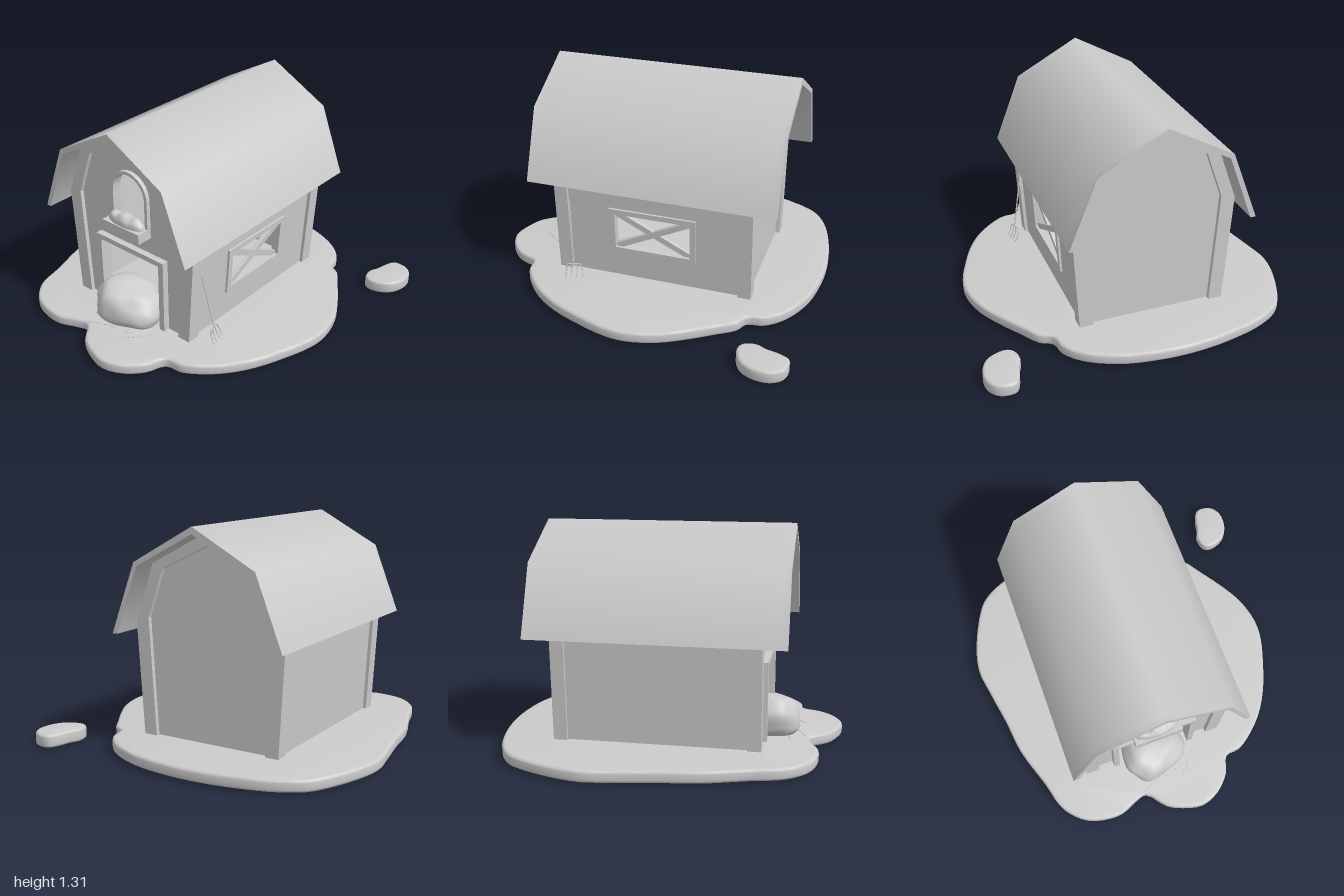
import * as THREE from 'three';
import { mergeVertices, toCreasedNormals } from 'three/addons/utils/BufferGeometryUtils.js';

const CX = -0.08; // barn centre line
const BASE = 0.05; // walls reach just below the ground surface
const material = new THREE.MeshStandardMaterial({ color: 0xcccccc });
const shellMaterial = new THREE.MeshStandardMaterial({ color: 0xcccccc, side: THREE.DoubleSide });

function add(parent, name, geometry, mat = material) {
  const mesh = new THREE.Mesh(geometry, mat);
  mesh.name = name;
  parent.add(mesh);
  return mesh;
}

const points = (list) => list.map(([x, y]) => new THREE.Vector2(x, y));
const polygon = (list) => new THREE.Shape(points(list));
const rect = (x0, y0, x1, y1) => [[x0, y0], [x1, y0], [x1, y1], [x0, y1]];
const hole = (shape, list) => { shape.holes.push(new THREE.Path(points(list))); return shape; };

// Half profile from base to ridge, mirrored to the other side
const mirrored = (half) => [...half, ...half.slice(0, -1).reverse().map(([x, y]) => [-x, y])];

// Extrude a front-facing shape between two z values
function slab(shape, z0, z1, steps = 1) {
  return new THREE.ExtrudeGeometry(shape, { depth: z1 - z0, steps, bevelEnabled: false }).translate(0, 0, z0);
}

// Upright panel facing +x that leans outwards with height (shape u = -z, v = y)
function sidePanel(shape, x0, x1) {
  const g = slab(shape, x0, x1).rotateY(Math.PI / 2);
  const lean = new THREE.Matrix4().set(1, 0.06, 0, -0.0048, 0, 1, 0, 0, 0, 0, 1, 0, 0, 0, 0, 1);
  g.applyMatrix4(lean);
  g.computeVertexNormals();
  return g;
}

// Hollow shell of land: top and rounded rim, open below; the outline (x, z) is smoothed
function land(outline, y0, y1, bevel, steps) {
  const curve = new THREE.CatmullRomCurve3(outline.map(([x, z]) => new THREE.Vector3(x, -z, 0)), true);
  const shape = polygon(curve.getPoints(steps).slice(0, -1).map((p) => [p.x, p.y]));
  const solid = new THREE.ExtrudeGeometry(shape, {
    depth: y1 - y0 - 2 * bevel, bevelThickness: bevel, bevelSize: bevel, bevelOffset: -bevel, bevelSegments: 3,
  });
  // The lids come first, the lower one leading: leave that one out
  const lowerLid = solid.groups[0].count / 2;
  const g = new THREE.BufferGeometry();
  g.setAttribute('position', new THREE.BufferAttribute(solid.attributes.position.array.slice(lowerLid * 3), 3));
  return toCreasedNormals(g.translate(0, 0, y0 + bevel).rotateX(-Math.PI / 2), 0.75);
}

// Thin round rod between two points
function rod(a, b, r) {
  return new THREE.TubeGeometry(new THREE.LineCurve3(new THREE.Vector3(...a), new THREE.Vector3(...b)), 1, r, 6, false);
}

// Smooth lump: a sphere reshaped by a rule
function lump(detail, rule) {
  let g = new THREE.IcosahedronGeometry(1, detail);
  g.deleteAttribute('normal');
  g.deleteAttribute('uv');
  g = mergeVertices(g);
  const p = g.attributes.position, v = new THREE.Vector3();
  for (let i = 0; i < p.count; i++) {
    rule(v.fromBufferAttribute(p, i));
    p.setXYZ(i, v.x, v.y, v.z);
  }
  g.computeVertexNormals();
  return g;
}

// Arch outline: straight jambs and a round head
function arch(w, y0, top) {
  const list = [[-w, y0], [w, y0]];
  for (let i = 0; i <= 16; i++) {
    const a = (i / 16) * Math.PI;
    list.push([w * Math.cos(a), top - w + w * Math.sin(a)]);
  }
  return list;
}

export function createModel() {
  const model = new THREE.Group();
  model.name = 'barnScene';

  // Ground and the small separate islet
  add(model, 'ground', land([
    [-0.13, -1], [0.03, -0.99], [0.2, -0.96], [0.35, -0.9], [0.45, -0.83], [0.51, -0.75], [0.53, -0.66],
    [0.6, -0.62], [0.67, -0.52], [0.77, -0.37], [0.85, -0.22], [0.89, -0.05], [0.88, 0.08], [0.83, 0.24],
    [0.75, 0.43], [0.65, 0.58], [0.53, 0.69], [0.45, 0.735], [0.36, 0.75], [0.31, 0.86], [0.22, 0.95],
    [0.1, 0.995], [-0.02, 0.97], [-0.12, 0.92], [-0.22, 0.81], [-0.3, 0.83], [-0.4, 0.87], [-0.5, 0.87],
    [-0.62, 0.835], [-0.71, 0.76], [-0.76, 0.68], [-0.8, 0.53], [-0.885, 0.27], [-0.915, 0.05], [-0.96, -0.2],
    [-0.98, -0.35], [-0.94, -0.54], [-0.83, -0.78], [-0.76, -0.85], [-0.62, -0.92], [-0.45, -0.965], [-0.3, -0.99],
  ], 0.012, 0.08, 0.016, 126), shellMaterial);
  add(model, 'islet', land([
    [0.87, -0.97], [0.93, -0.95], [0.97, -0.89], [0.97, -0.8], [0.93, -0.72], [0.86, -0.68], [0.8, -0.675],
    [0.765, -0.7], [0.75, -0.77], [0.775, -0.83], [0.79, -0.9], [0.82, -0.96],
  ], 0, 0.078, 0.015, 36), shellMaterial);

  const barn = new THREE.Group();
  barn.name = 'barn';
  barn.position.x = CX;
  model.add(barn);

  // Gambrel roof shell, softly shaded across its folds
  const roof = polygon([
    ...mirrored([[0.547, 0.688], [0.387, 1.1], [0, 1.31]]),
    ...mirrored([[0.515, 0.688], [0.365, 1.08], [0, 1.27]]).reverse(),
  ]);
  add(barn, 'roof', toCreasedNormals(slab(roof, -0.782, 0.7, 40), 1.1));

  // Gable walls, front one pierced by doorway and loft window
  const gable = mirrored([[0.422, BASE], [0.465, 0.75], [0.355, 1.07], [0, 1.255]]);
  const front = polygon([
    ...gable, [-0.23, BASE], [-0.23, 0.515], [0.23, 0.515], [0.23, BASE],
  ]);
  hole(front, arch(0.122, 0.69, 1.01));
  add(barn, 'frontWall', slab(front, 0.51, 0.535));
  add(barn, 'backWall', slab(polygon(gable), -0.615, -0.59));

  // Corner and gable trim, front and back
  const trim = polygon([
    ...mirrored([[0.443, BASE], [0.487, 0.75], [0.365, 1.08], [0, 1.27]]),
    ...mirrored([[0.36, BASE], [0.402, 0.77], [0.3, 1.053], [0, 1.195]]).reverse(),
  ]);
  add(barn, 'frontTrim', slab(trim, 0.48, 0.56));
  add(barn, 'backTrim', slab(trim, -0.64, -0.56));

  // Side walls; the left one has the window opening
  const win = rect(-0.19, 0.285, 0.27, 0.515);
  add(barn, 'leftWall', sidePanel(hole(polygon(rect(-0.52, BASE, 0.6, 0.8)), win), 0.4, 0.425));
  const rightWall = add(barn, 'rightWall', sidePanel(polygon(rect(-0.6, BASE, 0.52, 0.8)), 0.4, 0.425));
  rightWall.rotation.y = Math.PI;

  // Side window frame and crossed bars
  const sideWindow = new THREE.Group();
  sideWindow.name = 'sideWindow';
  barn.add(sideWindow);
  add(sideWindow, 'windowFrame', sidePanel(hole(polygon(rect(-0.225, 0.25, 0.305, 0.547)), win), 0.39, 0.439));
  for (const s of [1, -1]) {
    const a = s * Math.atan2(0.23, 0.46), c = Math.cos(a), n = Math.sin(a);
    const bar = rect(-0.25, -0.018, 0.25, 0.018).map(([u, v]) => [0.04 + u * c - v * n, 0.4 + u * n + v * c]);
    add(sideWindow, 'crossBar', sidePanel(polygon(bar), 0.395, s > 0 ? 0.424 : 0.42));
  }

  // Door surround
  add(barn, 'doorFrame', slab(polygon([
    [0.23, BASE], [0.23, 0.515], [-0.23, 0.515], [-0.23, BASE],
    [-0.267, BASE], [-0.267, 0.547], [0.267, 0.547], [0.267, BASE],
  ]), 0.5, 0.575));

  // Arched loft window with a planter full of hay
  add(barn, 'loftFrame', slab(hole(polygon(arch(0.142, 0.67, 1.03)), arch(0.122, 0.69, 1.01)), 0.5, 0.56));
  add(barn, 'planter', new THREE.BoxGeometry(0.285, 0.062, 0.1).translate(0, 0.682, 0.585));
  add(barn, 'planterHay', lump(9, (v) => {
    const height = 0.062 + 0.008 * Math.cos(9 * v.x + 0.6) + 0.004 * Math.sin(5 * v.z + 4 * v.x);
    v.set(0.132 * v.x, 0.71 + (v.y > 0 ? height * v.y ** 0.6 : 0.02 * v.y), 0.583 + 0.045 * v.z);
  }));

  // Hay heap in the doorway: bulging forward on its right, sloping down to its left
  add(model, 'hayHeap', lump(9, (v) => {
    const { x, y, z } = v;
    const bump = 1 + 0.05 * Math.sin(6 * x + 2 * z) * Math.cos(4 * y - 3 * z);
    const reach = z > 0 ? 1 - 0.3 * THREE.MathUtils.smoothstep(x, -0.35, 0.5) : 1;
    v.x = CX + 0.005 + 0.2 * Math.sign(x) * Math.abs(x) ** 0.85 * bump - (y > 0 ? 0.05 * y : 0);
    v.y = 0.14 + (y > 0 ? 0.168 * y ** 0.8 * (1 - 0.25 * Math.max(x, 0)) * bump : -0.105 * Math.abs(y) ** 0.9);
    v.z = 0.57 + 0.192 * Math.sign(z) * Math.abs(z) ** 0.9 * bump * reach;
  }));

  // Loose straw on the ground
  const straws = [
    [-0.2, 0.785, 0.3], [-0.16, 0.77, 0.25], [-0.11, 0.745, 0.6], [-0.08, 0.74, 0.1], [0.05, 0.77, 0.9],
    [0.08, 0.74, 0.85], [0.1, 0.71, 0.9], [0.03, 0.72, 0.4], [-0.25, 0.7, 0.5], [0.14, 0.66, 1.1],
  ];
  for (const [x, z, a] of straws) {
    const dx = 0.022 * Math.cos(a), dz = -0.022 * Math.sin(a);
    add(model, 'straw', rod([x - dx, 0.081, z - dz], [x + dx, 0.082, z + dz], 0.002));
  }

  // Pitchfork leaning on the left wall, its head turned towards the front
  const fork = new THREE.Group();
  fork.name = 'pitchfork';
  model.add(fork);
  add(fork, 'handle', rod([0.378, 0.555, 0.475], [0.447, 0.165, 0.437], 0.004));
  add(fork, 'crossPiece', rod([0.458, 0.163, 0.472], [0.435, 0.163, 0.402], 0.004));
  for (let i = 0; i < 4; i++) {
    const t = i / 3, x = 0.458 - 0.023 * t, z = 0.472 - 0.07 * t, spread = 0.478 - 0.098 * t;
    const curve = new THREE.CatmullRomCurve3([
      new THREE.Vector3(x, 0.163, z), new THREE.Vector3(x + 0.006, 0.12, spread), new THREE.Vector3(x + 0.028, 0.078, spread),
    ]);
    add(fork, 'tine', new THREE.TubeGeometry(curve, 6, 0.0035, 6, false));
  }
  return model;
}
